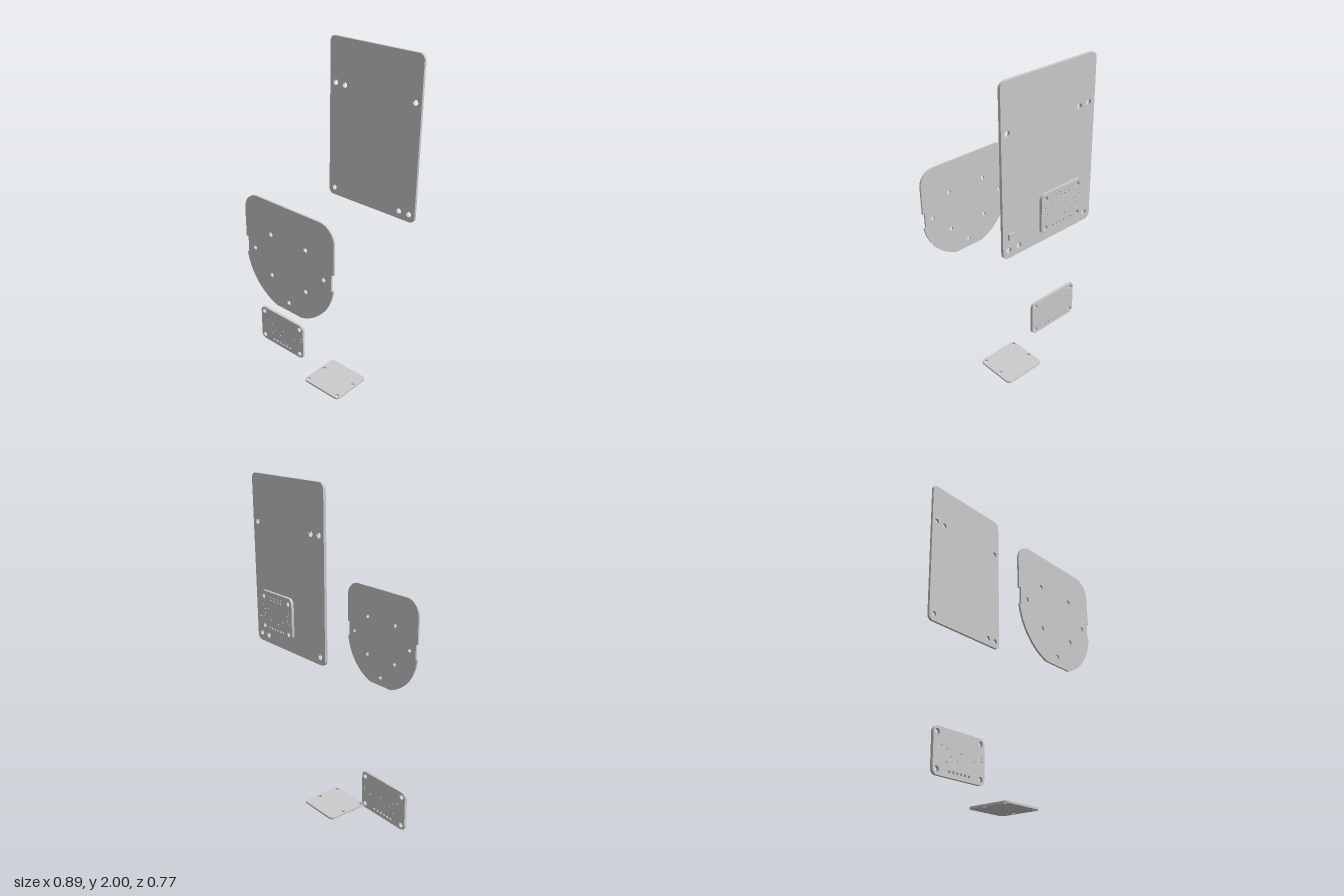
import * as THREE from 'three';
import { toCreasedNormals } from 'three/addons/utils/BufferGeometryUtils.js';

const material = new THREE.MeshStandardMaterial({ color: 0xcccccc });
const YAW = -0.0075; // the whole assembly is turned very slightly

// Rounded rectangle outline centred on the origin
function roundedRect(w, h, r) {
  const x = w / 2, y = h / 2, s = new THREE.Shape();
  s.moveTo(-x + r, -y);
  s.lineTo(x - r, -y);
  s.absarc(x - r, -y + r, r, -Math.PI / 2, 0);
  s.absarc(x - r, y - r, r, 0, Math.PI / 2);
  s.absarc(-x + r, y - r, r, Math.PI / 2, Math.PI);
  s.absarc(-x + r, -y + r, r, Math.PI, Math.PI * 1.5);
  return s;
}

// Round through holes: list of [x, y], measured from (cx, cy)
function drill(shape, points, radius, cx = 0, cy = 0) {
  for (const [x, y] of points) {
    shape.holes.push(new THREE.Path().absarc(x - cx, y - cy, radius, 0, Math.PI * 2, true));
  }
}

// Flat sheet of the given thickness, centred in depth
function sheet(name, shape, thickness, x, y, z) {
  const geo = new THREE.ExtrudeGeometry(shape, { depth: thickness, bevelEnabled: false, curveSegments: 20 });
  geo.translate(0, 0, -thickness / 2);
  const mesh = new THREE.Mesh(toCreasedNormals(geo, 0.6), material);
  mesh.name = name;
  mesh.position.set(x, y, z);
  mesh.rotation.y = YAW;
  return mesh;
}

const corners = (x, y) => [[-x, -y], [x, -y], [-x, y], [x, y]];
const row = (n, step, y, x0 = 0) =>
  Array.from({ length: n }, (_, i) => [x0 + (i - (n - 1) / 2) * step, y]);

export function createModel() {
  const model = new THREE.Group();
  model.name = 'circuitBoardAssembly';

  // Tall main board with mounting holes
  const main = roundedRect(0.615, 0.93, 0.032);
  drill(main, [
    [-0.135, 1.746], [-0.069, 1.743], [0.402, 1.746],
    [-0.135, 1.115], [0.335, 1.115], [0.402, 1.115],
  ], 0.016, 0.1325, 1.535);
  const mainBoard = sheet('mainBoard', main, 0.0155, 0.1325, 1.535, -0.291);
  model.add(mainBoard);

  // Small component on the back of the main board
  const chip = new THREE.Mesh(new THREE.BoxGeometry(0.037, 0.035, 0.01), material);
  chip.name = 'backComponent';
  chip.position.set(0.2565, 1.197 - 1.535, -0.0125);
  mainBoard.add(chip);

  // Front plate: rounded top, side notches, circular lower half cut flat
  const cx = 0.1285, cy = 0.99, r = 0.311, top = 1.302 - cy, corner = 0.095;
  const cutAngle = Math.asin(0.297 / r), notchAngle = Math.asin(0.043 / r);
  const plate = new THREE.Shape();
  plate.absarc(0, 0, r, -cutAngle, -notchAngle, false);
  plate.lineTo(r - 0.014, -0.043);
  plate.lineTo(r - 0.014, 0.05);
  plate.lineTo(r, 0.05);
  plate.absarc(r - corner, top - corner, corner, 0, Math.PI / 2);
  plate.absarc(-r + corner, top - corner, corner, Math.PI / 2, Math.PI);
  plate.lineTo(-r, 0.05);
  plate.lineTo(-r + 0.014, 0.05);
  plate.lineTo(-r + 0.014, -0.043);
  plate.absarc(0, 0, r, Math.PI + notchAngle, Math.PI + cutAngle, false);
  drill(plate, [...corners(0.123, 0.122), [-0.246, 0], [0.246, 0], [0, -0.244]], 0.012);
  model.add(sheet('frontPlate', plate, 0.0105, cx, cy, 0.376));

  // Lower sensor board: corner holes, pin row and small vias
  const sensor = roundedRect(0.36, 0.237, 0.03);
  drill(sensor, corners(0.153, 0.09), 0.015);
  drill(sensor, row(6, 0.0275, -0.09), 0.007);
  drill(sensor, [
    [-0.389, 0.225], [-0.352, 0.209], [-0.325, 0.177], [-0.352, 0.146], [-0.278, 0.161],
    [-0.251, 0.204], [-0.156, 0.183], [-0.104, 0.212], [-0.104, 0.193],
  ], 0.004, -0.265, 0.193);
  model.add(sheet('sensorBoard', sensor, 0.0165, -0.265, 0.193, 0.0465));

  // Rear daughter board: corner holes, pin row and vias round the edge
  const rear = roundedRect(0.278, 0.222, 0.028);
  drill(rear, corners(0.11, 0.082), 0.013);
  drill(rear, row(6, 0.025, -0.086), 0.006);
  drill(rear, [
    ...row(4, 0.03, 0.085), ...row(4, 0.03, 0.068),
    ...corners(0.115, 0.03), ...corners(0.1, 0.012),
    [-0.06, -0.03], [0.05, -0.04], [0.07, 0.02], [-0.02, -0.05],
  ], 0.0045);
  model.add(sheet('rearBoard', rear, 0.0155, 0.127, 1.299, -0.379));

  // Flat cover board lying at the base
  const flat = roundedRect(0.272, 0.262, 0.026);
  drill(flat, [[0.016, 0.0255], [0.246, 0.0245], [0.015, -0.112], [0.245, -0.112]], 0.012, 0.1315, -0.003);
  const flatBoard = sheet('flatBoard', flat, 0.011, 0.1315, 0.0055, 0.003);
  flatBoard.rotation.set(-Math.PI / 2, 0, YAW);
  model.add(flatBoard);

  return model;
}
